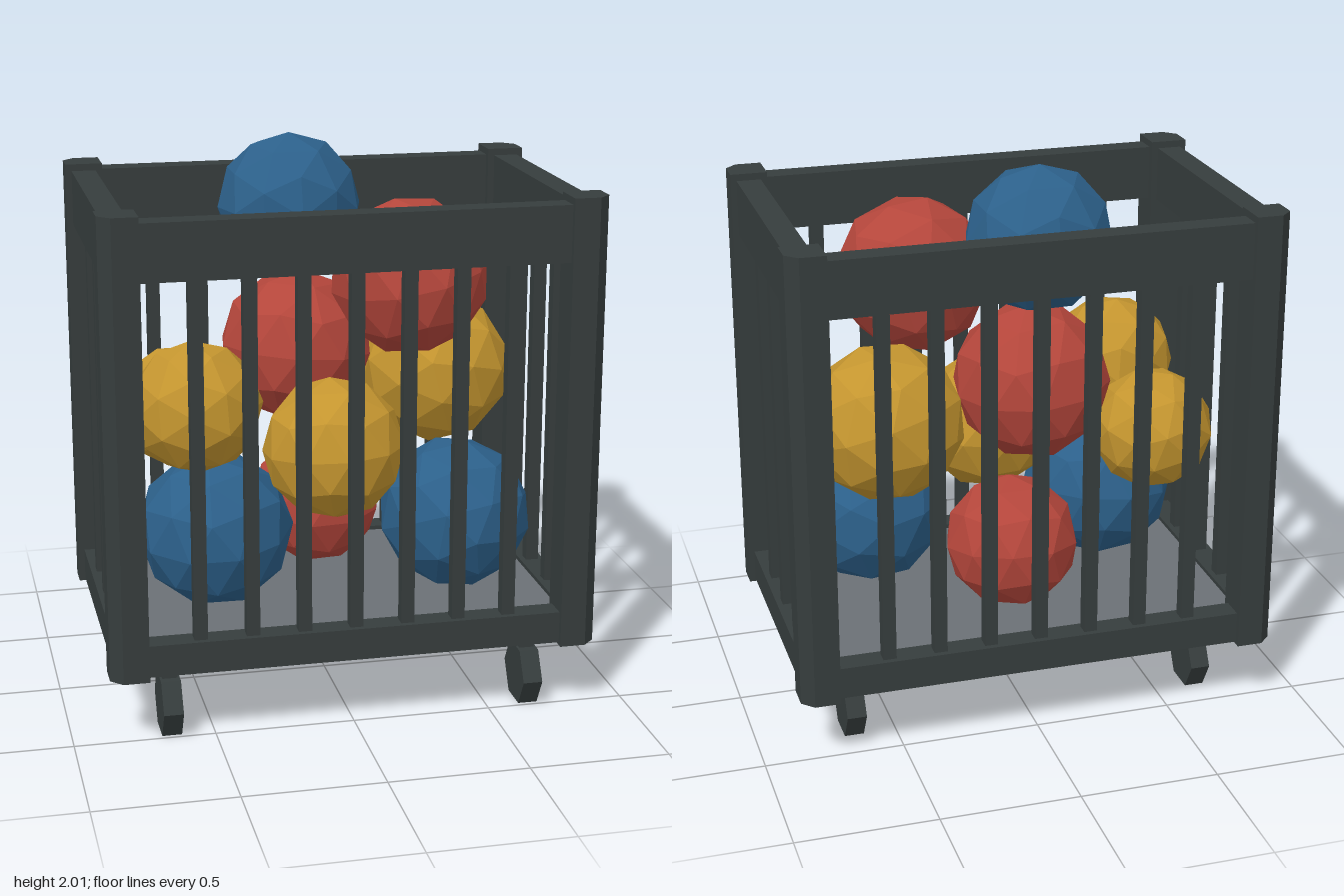
import * as THREE from 'three';

const mat = (name, color, flat = true) => {
  const m = new THREE.MeshStandardMaterial({ color, flatShading: flat });
  m.name = name;
  return m;
};

export function createModel() {
  const root = new THREE.Group();
  root.name = 'ballCart';
  const frame = mat('darkFrame', 0x363d3d);
  const floorGrey = mat('floorGrey', 0x6b7075);
  const blue = mat('blueBall', 0x2c608a);
  const red = mat('redBall', 0xb4463b);
  const yellow = mat('yellowBall', 0xc4952f);

  const add = (name, geo, material, x, y, z) => {
    const mesh = new THREE.Mesh(geo, material);
    mesh.name = name;
    mesh.position.set(x, y, z);
    root.add(mesh);
    return mesh;
  };
  const box = (name, w, h, d, x, y, z, m = frame) =>
    add(name, new THREE.BoxGeometry(w, h, d), m, x, y, z);

  // Corner posts, each with its outer corner cut off
  const x0 = 0.738, x1 = 0.872, z0 = 0.445, z1 = 0.58, cut = 0.042;
  for (const sx of [-1, 1]) for (const sz of [-1, 1]) {
    const shape = new THREE.Shape([
      [x0, z0], [x1, z0], [x1, z1 - cut], [x1 - cut, z1], [x0, z1],
    ].map(([x, z]) => new THREE.Vector2(sx * x, -sz * z)));
    const geo = new THREE.ExtrudeGeometry(shape, { depth: 1.625, bevelEnabled: false });
    geo.rotateX(-Math.PI / 2);
    add('cornerPost', geo, frame, 0, 0.25, 0);
  }

  // Rails on all four sides: [name, height, centre y]
  for (const [name, h, y] of [['topRail', 0.2, 1.75], ['bottomRail', 0.115, 0.3175]]) {
    for (const s of [-1, 1]) {
      box(name, 1.5, h, 0.088, 0, y, s * 0.516);
      box(name, 0.088, h, 0.92, s * 0.806, y, 0);
    }
  }

  // Upright bars
  for (const s of [-1, 1]) {
    for (let i = -3; i <= 3; i++) box('bar', 0.047, 1.3, 0.047, i * 0.184, 1.01, s * 0.516);
    for (let i = -1; i <= 1; i++) box('bar', 0.047, 1.3, 0.047, s * 0.806, 1.01, i * 0.222);
  }

  // Floor
  box('floor', 1.56, 0.07, 0.98, 0, 0.325, 0, floorGrey);

  // Casters: short stem over a trailing six-sided wheel
  for (const sx of [-1, 1]) for (const [stemZ, wheelZ] of [[0.405, 0.423], [-0.34, -0.321]]) {
    box('casterStem', 0.053, 0.16, 0.096, sx * 0.653, 0.22, stemZ);
    const wheel = new THREE.CylinderGeometry(0.118, 0.118, 0.07, 6);
    wheel.rotateZ(Math.PI / 2);
    add('casterWheel', wheel, frame, sx * 0.653, 0.1022, wheelZ);
  }

  // Faceted balls: [material, x, y, z, radius]
  const balls = [
    [blue, -0.09, 1.745, -0.19, 0.263],
    [red, 0.275, 1.54, 0.157, 0.284],
    [red, -0.07, 1.22, -0.175, 0.284],
    [yellow, 0.46, 1.11, -0.165, 0.282],
    [yellow, -0.515, 1.0, -0.222, 0.222],
    [yellow, -0.505, 1.12, 0.215, 0.235],
    [yellow, -0.008, 0.93, 0.195, 0.258],
    [blue, -0.435, 0.643, 0.15, 0.282],
    [blue, 0.455, 0.643, 0.16, 0.279],
    [red, 0.01, 0.61, -0.2, 0.245],
  ];
  balls.forEach(([m, x, y, z, r], i) => {
    const ball = add('ball', new THREE.IcosahedronGeometry(r, 1), m, x, y, z);
    ball.rotation.set(i * 1.3, i * 0.7, i * 2.1);
  });

  return root;
}
